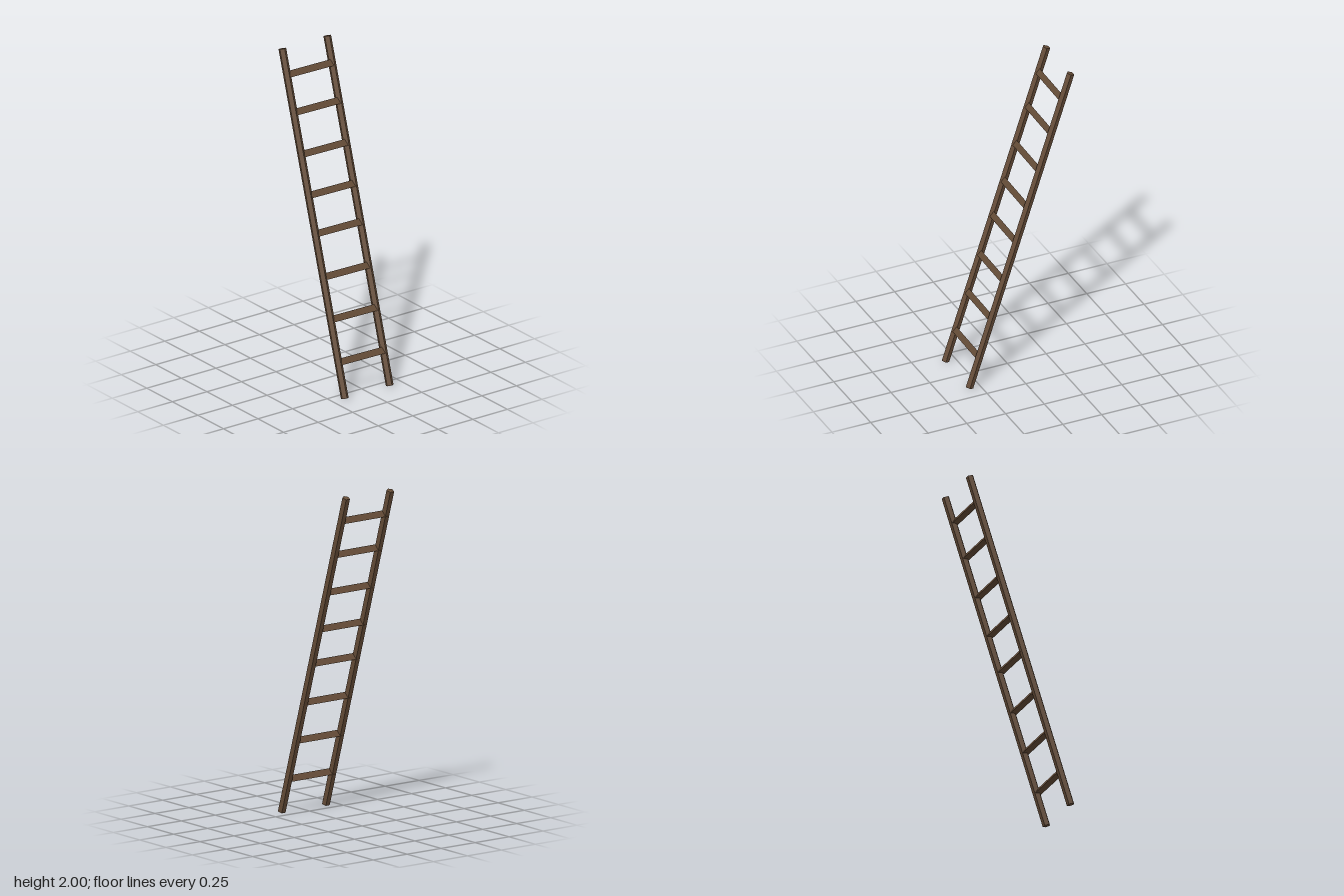
import * as THREE from 'three';

const wood = new THREE.MeshStandardMaterial({ color: 0x664d38 });
wood.name = 'dark wood';

// Low-poly pole along +y with faceted normals
function pole(radius, length, sides) {
  const geo = new THREE.CylinderGeometry(radius, radius, length, sides).toNonIndexed();
  geo.computeVertexNormals();
  return geo;
}

export function createModel() {
  const ladder = new THREE.Group();
  ladder.name = 'ladder';

  const radius = 0.0237;
  const bottom = new THREE.Vector3(0.318, 0.006, 0.01);
  const top = new THREE.Vector3(-0.323, 1.993, -0.012);
  const along = top.clone().sub(bottom);

  // Two leaning five-sided rails, one edge turned to the climbing side
  const railGeo = pole(radius, along.length(), 5).rotateY(Math.PI / 2);
  const lean = along.clone().normalize();
  for (const [name, z] of [['frontRail', 0.1625], ['backRail', -0.1625]]) {
    const rail = new THREE.Mesh(railGeo, wood);
    rail.name = name;
    rail.position.copy(bottom).add(top).multiplyScalar(0.5);
    rail.position.z += z;
    rail.quaternion.setFromUnitVectors(new THREE.Vector3(0, 1, 0), lean);
    ladder.add(rail);
  }

  // Three-sided rungs, ridge upwards, at slightly uneven heights
  const rungGeo = pole(radius, 0.325, 3).rotateX(-Math.PI / 2);
  const rungAxis = new THREE.Vector3(-0.012, 0.008, 1).normalize();
  const heights = [0.215, 0.458, 0.699, 0.945, 1.163, 1.396, 1.634, 1.849];
  heights.forEach((y, i) => {
    const rung = new THREE.Mesh(rungGeo, wood);
    rung.name = `rung${i + 1}`;
    rung.position.lerpVectors(bottom, top, (y - bottom.y) / along.y);
    rung.position.x += 0.006;
    rung.position.y -= 0.006;
    rung.quaternion.setFromUnitVectors(new THREE.Vector3(0, 0, 1), rungAxis);
    ladder.add(rung);
  });

  return ladder;
}
